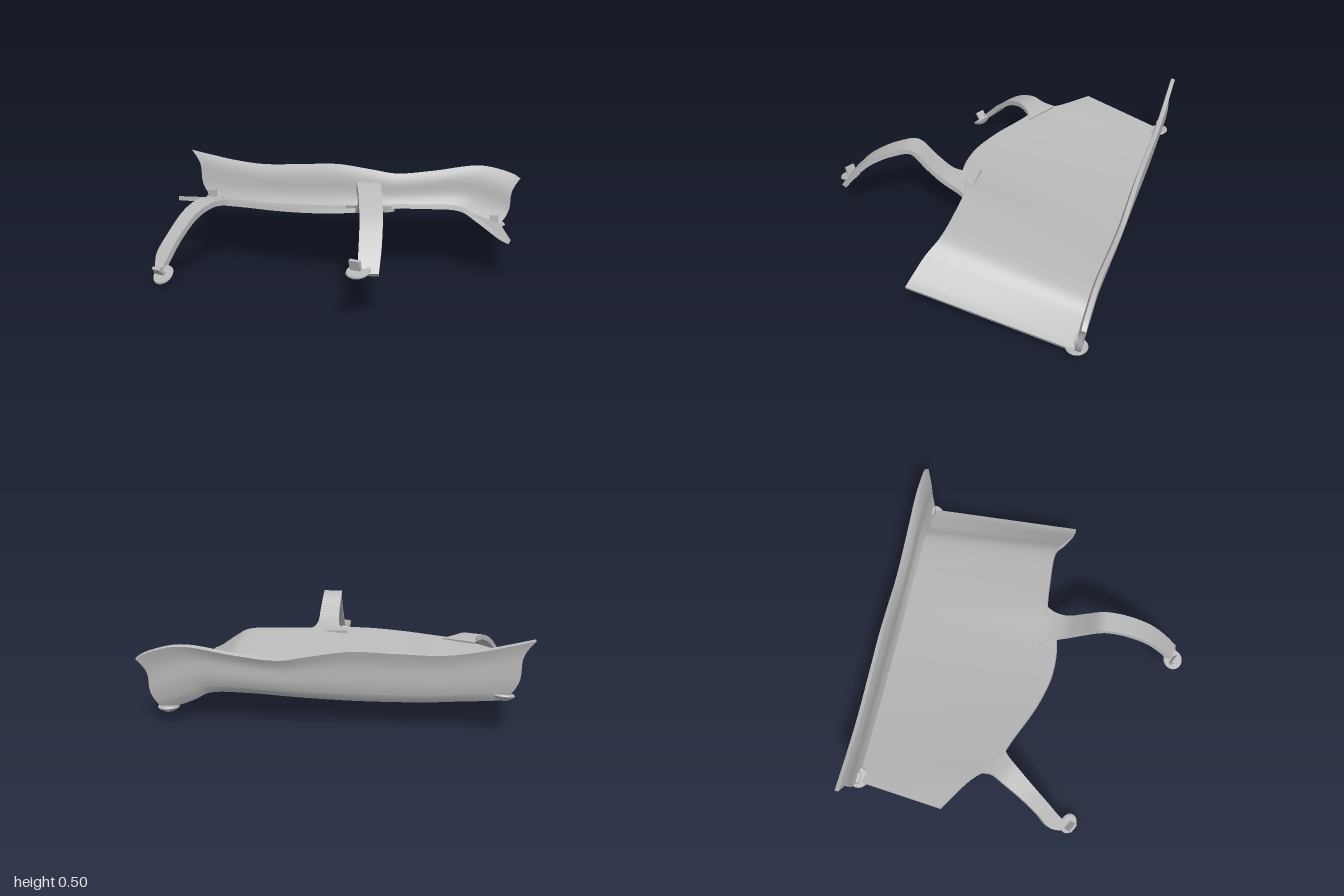
import * as THREE from 'three';
import { toCreasedNormals } from 'three/addons/utils/BufferGeometryUtils.js';

const V = (x, y, z) => new THREE.Vector3(x, y, z);
const curve = (pts) => new THREE.CatmullRomCurve3(pts, false, 'centripetal');

// Solid sheet: f(u, v) gives the upper face, du x dv points outward, thickened the other way.
function sheet(f, nu, nv, thick) {
  const pos = [], idx = [], w = nu + 1, n = w * (nv + 1);
  const P = [];
  for (let j = 0; j <= nv; j++) for (let i = 0; i <= nu; i++) P.push(f(i / nu, j / nv));
  const at = (i, j) => P[Math.min(nv, Math.max(0, j)) * w + Math.min(nu, Math.max(0, i))];
  const low = [];
  for (let j = 0; j <= nv; j++) for (let i = 0; i <= nu; i++) {
    const du = at(i + 1, j).clone().sub(at(i - 1, j));
    const dv = at(i, j + 1).clone().sub(at(i, j - 1));
    low.push(at(i, j).clone().addScaledVector(du.cross(dv).normalize(), -thick));
  }
  [...P, ...low].forEach((p) => pos.push(p.x, p.y, p.z));
  for (let j = 0; j < nv; j++) for (let i = 0; i < nu; i++) {
    const a = j * w + i, b = a + 1, c = b + w, d = a + w;
    idx.push(a, b, c, a, c, d, a + n, c + n, b + n, a + n, d + n, c + n);
  }
  // rim all around
  const rim = [];
  for (let i = 0; i < nu; i++) rim.push(i);
  for (let j = 0; j < nv; j++) rim.push(j * w + nu);
  for (let i = nu; i > 0; i--) rim.push(nv * w + i);
  for (let j = nv; j > 0; j--) rim.push(j * w);
  rim.forEach((a, k) => {
    const b = rim[(k + 1) % rim.length];
    idx.push(a, a + n, b + n, a, b + n, b);
  });
  const g = new THREE.BufferGeometry();
  g.setAttribute('position', new THREE.Float32BufferAttribute(pos, 3));
  g.setIndex(idx);
  return toCreasedNormals(g, 0.7);
}

export function createModel() {
  const group = new THREE.Group();
  const grey = new THREE.MeshStandardMaterial({ color: 0xb8b8b8 });
  grey.name = 'warm metal grey';
  const add = (geo, name, parent = group) => {
    const m = new THREE.Mesh(geo, grey);
    m.name = name;
    parent.add(m);
    return m;
  };

  // stations along the bench: fraction, front edge x y z, fold height, backrest top height
  const rows = [
    [0, -0.73, 0.29, 0.35, 0.19, 0.47],
    [0.08, -0.52, 0.31, 0.375, 0.18, 0.435],
    [0.13, -0.38, 0.32, 0.42, 0.175, 0.415],
    [0.22, -0.22, 0.325, 0.41, 0.165, 0.392],
    [0.34, 0.0, 0.33, 0.395, 0.16, 0.395],
    [0.45, 0.18, 0.335, 0.35, 0.16, 0.4],
    [0.56, 0.34, 0.34, 0.25, 0.165, 0.37],
    [0.63, 0.42, 0.345, 0.13, 0.17, 0.35],
    [0.74, 0.58, 0.345, 0.02, 0.18, 0.37],
    [0.86, 0.75, 0.335, -0.07, 0.175, 0.405],
    [0.91, 0.85, 0.285, -0.075, 0.135, 0.4],
    [0.98, 0.96, 0.215, -0.09, 0.09, 0.36],
    [1, 0.995, 0.2, -0.1, 0.078, 0.335],
  ];
  const front = curve(rows.map((r) => V(r[1], r[2], r[3])));
  const fold = curve(rows.map((r) => V(-0.88 + 1.51 * r[0], r[4], -0.08 - 0.77 * r[0])));
  const top = curve(rows.map((r) => V(-1 + 1.7 * r[0], r[5], -0.05 - 0.9 * r[0])));

  // seat and backrest are one bent sheet; the backrest has an S-shaped section
  add(sheet((u, v) => {
    const b = fold.getPoint(u);
    if (v <= 0.5) return front.getPoint(u).lerp(b, v * 2);
    const t = v * 2 - 1, e = top.getPoint(u);
    const g = t + 0.15 * Math.sin(2 * Math.PI * t);
    return V(b.x + (e.x - b.x) * g, b.y + (e.y - b.y) * t, b.z + (e.z - b.z) * g);
  }, 96, 32, 0.022), 'seatAndBackrest');

  // strap legs: centre x y z and half width, swept with a fixed sideways direction
  function leg(name, pts, side) {
    const c = curve(pts.map((p) => V(p[0], p[1], p[2])));
    const width = curve(pts.map((p, i) => V(i, p[3], 0)));
    add(sheet((u, v) => c.getPoint(v).addScaledVector(side, (1 - 2 * u) * width.getPoint(v).y),
      4, 40, 0.028), name);
  }
  leg('shortLeg', [
    [-0.37, 0.322, 0.38, 0.1], [-0.375, 0.335, 0.44, 0.065], [-0.385, 0.338, 0.52, 0.055],
    [-0.39, 0.3, 0.63, 0.045], [-0.39, 0.22, 0.74, 0.04], [-0.39, 0.13, 0.83, 0.04],
    [-0.37, 0.08, 0.88, 0.025],
  ], V(1, 0, 0));
  leg('archedLeg', [
    [0.355, 0.335, 0.14, 0.12], [0.385, 0.343, 0.19, 0.08], [0.42, 0.365, 0.25, 0.06],
    [0.46, 0.43, 0.32, 0.055], [0.505, 0.515, 0.41, 0.053], [0.57, 0.49, 0.5, 0.052],
    [0.65, 0.405, 0.62, 0.05], [0.7, 0.3, 0.71, 0.048], [0.73, 0.21, 0.775, 0.045],
  ], V(0.87, 0, -0.5));

  // feet: a shallow dome with a small clip on top
  const dome = new THREE.LatheGeometry([
    [0, -0.026], [0.022, -0.022], [0.042, -0.012], [0.054, 0], [0.05, 0.008], [0, 0.008],
  ].map((p) => new THREE.Vector2(...p)), 24);
  const clip = new THREE.BoxGeometry(0.05, 0.045, 0.016);
  [
    ['shortLegFoot', -0.335, 0.05, 0.885, 0.75, 0],
    ['archedLegFoot', 0.69, 0.215, 0.785, 0.3, 0],
    ['backRightFoot', -0.865, 0.19, -0.09, 0.15, 0.5],
    ['backLeftFoot', 0.605, 0.075, -0.84, 0, 0.5],
  ].forEach(([name, x, y, z, tilt, turn]) => {
    const foot = new THREE.Group();
    foot.name = name;
    foot.position.set(x, y, z);
    foot.rotation.set(tilt, turn, 0);
    add(toCreasedNormals(dome, 0.7), 'dome', foot);
    add(clip, 'clip', foot).position.set(-0.01, 0.03, 0);
    group.add(foot);
  });
  return group;
}
